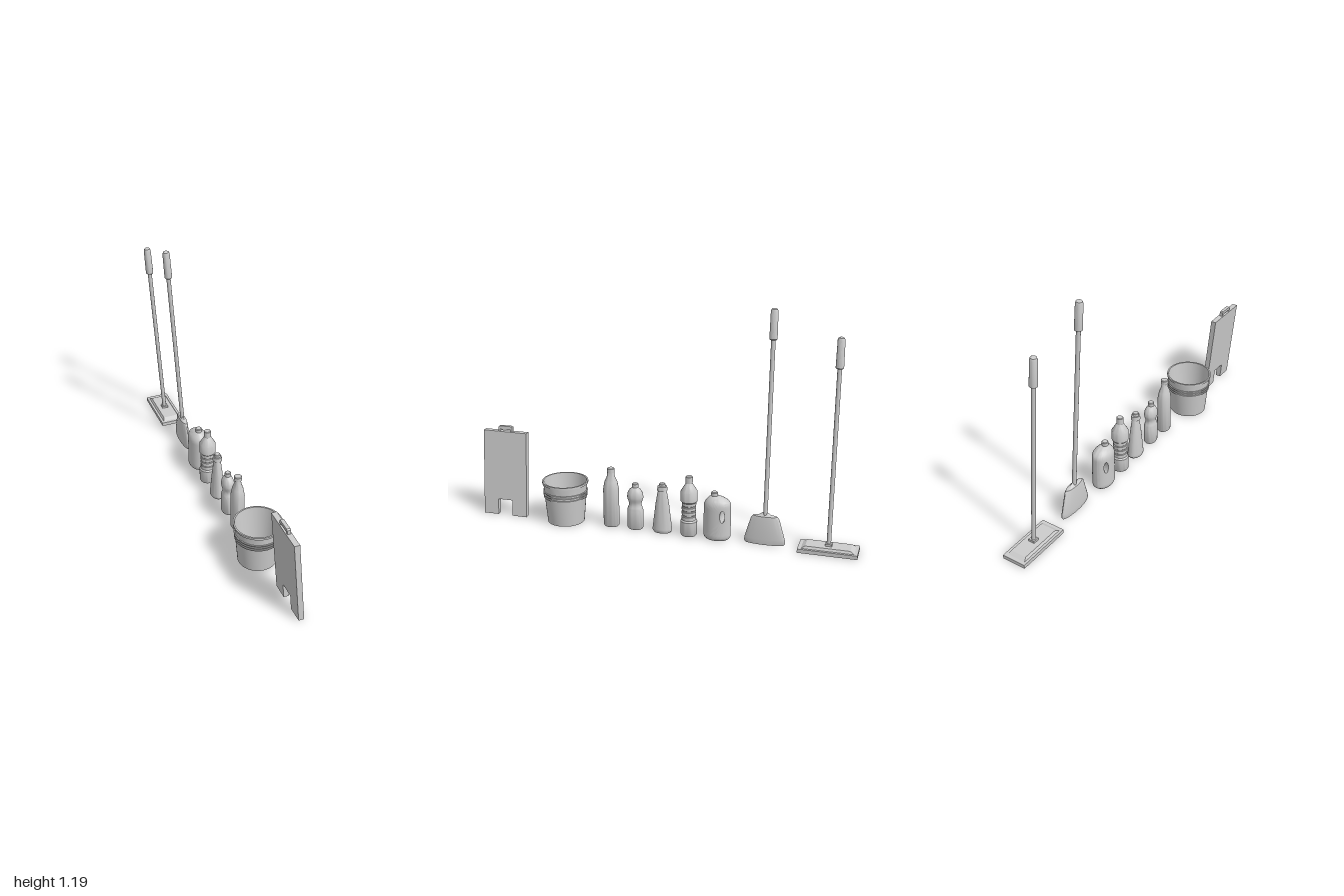
import * as THREE from 'three';
import { toCreasedNormals } from 'three/addons/utils/BufferGeometryUtils.js';

const material = new THREE.MeshStandardMaterial({ color: 0xcccccc });

function add(parent, name, geometry) {
  const mesh = new THREE.Mesh(geometry, material);
  mesh.name = name;
  parent.add(mesh);
  return mesh;
}

function group(name, z = 0) {
  const g = new THREE.Group();
  g.name = name;
  g.position.z = z;
  return g;
}

// Lathe of [radius, y] points, closed at both ends and flattened along x.
function turned(profile, flat = 1, segments = 28) {
  const points = profile.map(p => new THREE.Vector2(...p));
  points.unshift(new THREE.Vector2(0, points[0].y));
  points.push(new THREE.Vector2(0, points[points.length - 1].y));
  return toCreasedNormals(new THREE.LatheGeometry(points, segments).scale(flat, 1, 1), 0.6);
}

// Side-on shape (u = -z, v = y) extruded along x and leaned towards -x.
function leaningPlate(shape, depth, x0) {
  const geo = new THREE.ExtrudeGeometry(shape, { depth, bevelEnabled: false });
  return geo.applyMatrix4(new THREE.Matrix4().set(
    0, -0.093, 1, x0,
    0, 1, 0, 0,
    -1, 0, 0, 0,
    0, 0, 0, 1));
}

// Mirrored shape from the points of its right half.
function mirroredShape(half) {
  const left = half.map(([u, v]) => [-u, v]).reverse();
  return new THREE.Shape([...half, ...left].map(p => new THREE.Vector2(...p)));
}

function floorSign() {
  const g = group('floorSign', 0.878);
  const board = mirroredShape([[0.04, 0.085], [0.04, 0], [0.122, 0], [0.122, 0.458]]);
  const handle = mirroredShape([[0.03, 0.468], [0.03, 0.457], [0.04, 0.457], [0.04, 0.48], [0.034, 0.486]]);
  add(g, 'signBoard', leaningPlate(board, 0.028, 0.007));
  add(g, 'signHandle', leaningPlate(handle, 0.018, 0.012));
  return g;
}

function bucket() {
  const g = group('bucket', 0.54);
  const radius = y => 0.097 + y * 0.088;
  const profile = [[radius(0), 0]];
  // raised rings around the upper wall
  for (let i = 0; i < 3; i++) {
    const y = 0.143 + i * 0.014, r = radius(y);
    profile.push([r, y - 0.004], [r + 0.005, y - 0.003], [r + 0.005, y + 0.003], [r, y + 0.004]);
  }
  // lip, then down the inside to the floor
  profile.push([radius(0.213), 0.213], [0.121, 0.214], [0.121, 0.225], [0.113, 0.225], [0.093, 0.006]);
  add(g, 'bucketBody', turned(profile, 1, 36));
  return g;
}

// Bottle with a flattened body and a round cap of radius r between two heights.
function bottle(name, z, profile, flat, r, y0, y1) {
  const g = group(name, z);
  add(g, name + 'Body', turned(profile, flat));
  add(g, name + 'Cap', turned([[r, y0], [r, y1 - 0.003], [r - 0.003, y1]], 1, 20));
  return g;
}

function slimBottle() {
  const body = [[0.037, 0], [0.042, 0.008], [0.042, 0.205], [0.034, 0.245], [0.021, 0.275], [0.018, 0.3]];
  return bottle('slimBottle', 0.285, body, 0.81, 0.02, 0.297, 0.32);
}

function waistedBottle() {
  const body = [[0.037, 0], [0.043, 0.01]];
  // narrow waist
  for (let i = 0; i <= 8; i++) {
    body.push([0.038 + 0.005 * Math.cos(i / 4 * Math.PI), 0.1 + i * 0.0095]);
  }
  body.push([0.041, 0.195], [0.031, 0.215], [0.014, 0.231]);
  return bottle('waistedBottle', 0.153, body, 0.77, 0.016, 0.229, 0.25);
}

function taperedBottle() {
  const body = [[0.045, 0], [0.051, 0.008], [0.051, 0.02], [0.036, 0.15], [0.026, 0.21], [0.021, 0.23]];
  const g = bottle('taperedBottle', 0.007, body, 0.72, 0.016, 0.247, 0.266);
  add(g, 'collar', turned([[0.027, 0.228], [0.025, 0.25]], 0.9, 20));
  return g;
}

function ribbedBottle() {
  const body = [[0.038, 0], [0.043, 0.008], [0.043, 0.078], [0.037, 0.086]];
  // grooves around the grip
  for (let i = 0; i < 3; i++) {
    const y = 0.11 + i * 0.025;
    body.push([0.037, y - 0.005], [0.034, y - 0.002], [0.034, y + 0.002], [0.037, y + 0.005]);
  }
  body.push([0.037, 0.18], [0.043, 0.187], [0.043, 0.24], [0.026, 0.268], [0.017, 0.284]);
  return bottle('ribbedBottle', -0.135, body, 1, 0.018, 0.283, 0.32);
}

// Jug skinned from its grip hole out to the silhouette and back on the other side.
function jug() {
  const g = group('jug', -0.284);
  const ease = (y, start, end) => THREE.MathUtils.clamp((y - start) / (end - start), 0, 1);
  const top = 0.23, holeZ = -0.035, holeY = 0.134, cols = 72, steps = 9;
  // front and back edges at each height: small foot, rounded shoulders
  const foot = y => 0.011 * (1 - ease(y, 0, 0.012));
  const frontZ = y => 0.07 - foot(y) - 0.034 * ease(y, 0.175, top) ** 2;
  const backZ = y => -0.07 + foot(y) + 0.058 * ease(y, 0.175, top) ** 3;
  const heights = [0, 0.012, 0.175, 0.19, 0.205, 0.218, top];
  const outline = new THREE.Shape([
    ...heights.map(y => new THREE.Vector2(frontZ(y), y)),
    ...heights.map(y => new THREE.Vector2(backZ(y), y)).reverse()]);
  outline.closePath();
  const edge = outline.getSpacedPoints(cols);
  const thickness = (z, y) => {
    const w = (frontZ(y) - backZ(y)) / 2, n = (z - (frontZ(y) + backZ(y)) / 2) / w;
    return 0.714 * w * Math.sqrt(Math.max(0, 1 - n * n));
  };
  const pos = [], index = [];
  for (let i = 0; i <= 2 * steps; i++) {
    const k = i % (2 * steps), side = k < steps ? 1 : -1;
    const t = Math.sin((side > 0 ? k : 2 * steps - 1 - k) / (steps - 1) * Math.PI / 2);
    for (let j = 0; j < cols; j++) {
      const e = edge[j], a = Math.atan2(e.y - holeY, e.x - holeZ);
      const z = THREE.MathUtils.lerp(holeZ + 0.012 * Math.cos(a), e.x, t);
      const y = THREE.MathUtils.lerp(holeY + 0.033 * Math.sin(a), e.y, t);
      pos.push(side * thickness(z, y), y, z);
      if (i === 2 * steps) continue;
      const p = i * cols + j, q = i * cols + (j + 1) % cols;
      index.push(p, q, q + cols, p, q + cols, p + cols);
    }
  }
  const geo = new THREE.BufferGeometry();
  geo.setAttribute('position', new THREE.Float32BufferAttribute(pos, 3));
  geo.setIndex(index);
  add(g, 'jugBody', toCreasedNormals(geo, 0.75));
  add(g, 'jugCap', turned([[0.017, 0.215], [0.017, 0.247], [0.014, 0.251]], 1, 20)).position.z = 0.016;
  return g;
}

// Leaning pole with a thicker rounded grip at its top.
function pole(length, y) {
  const g = group('pole');
  add(g, 'shaft', new THREE.CylinderGeometry(0.011, 0.011, length - 0.1, 14)).position.y = (length - 0.1) / 2;
  const grip = [[0.015, -0.153], [0.02, -0.148], [0.0185, -0.015], [0.015, -0.004], [0.009, 0]];
  add(g, 'grip', turned(grip, 1, 18)).position.y = length;
  g.rotation.z = 0.066;
  g.position.y = y;
  return g;
}

function broom() {
  const g = group('broom', -0.53);
  const head = [[0.099, 0], [0.105, 0.01], [0.103, 0.03], [0.072, 0.138], [0.062, 0.15], [0.03, 0.157], [0.015, 0.168]];
  const geo = turned(head, 0.2, 32);
  // keep the thickness even while the width narrows towards the top
  const pos = geo.attributes.position;
  for (let i = 0; i < pos.count; i++) pos.setX(i, pos.getX(i) * (1 + 3 * Math.max(0, pos.getY(i) - 0.02)));
  geo.computeVertexNormals();
  add(g, 'broomHead', toCreasedNormals(geo, 0.6));
  g.add(pole(1.052, 0.14));
  return g;
}

function mop() {
  const g = group('mop', -0.852);
  add(g, 'mopPad', new THREE.BoxGeometry(0.126, 0.02, 0.296)).position.y = 0.01;
  // top plate with sloping sides
  const plate = new THREE.CylinderGeometry(0.6, Math.SQRT1_2, 0.012, 4, 1).rotateY(Math.PI / 4).scale(0.1, 1, 0.262);
  add(g, 'mopPlate', toCreasedNormals(plate, 0.3)).position.y = 0.026;
  add(g, 'poleSocket', new THREE.BoxGeometry(0.034, 0.014, 0.034)).position.y = 0.036;
  g.add(pole(1.045, 0.028));
  return g;
}

export function createModel() {
  const model = group('cleaningSet');
  model.add(floorSign(), bucket(), slimBottle(), waistedBottle(), taperedBottle(), ribbedBottle(), jug(), broom(), mop());
  return model;
}
